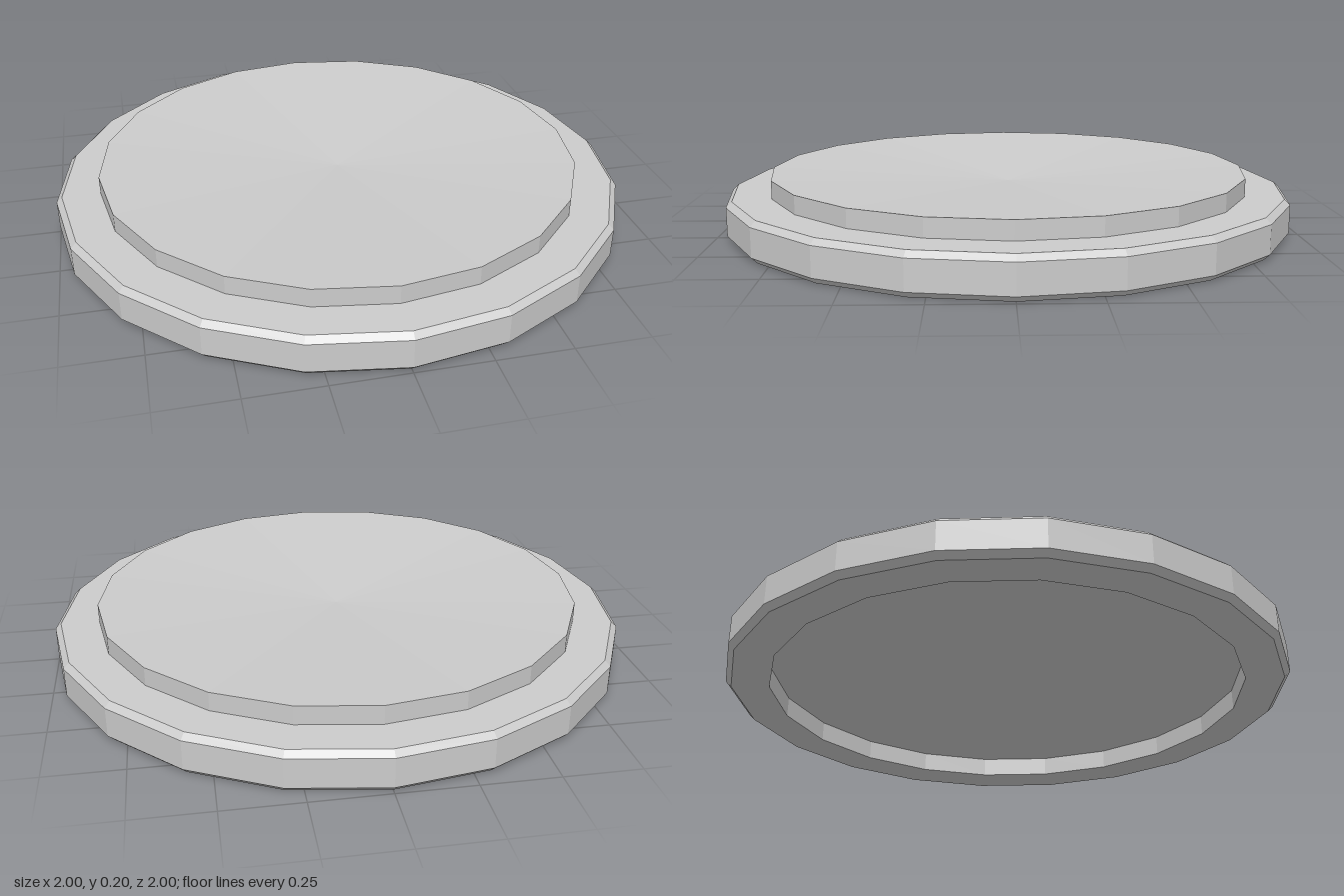
import * as THREE from 'three';

const SIDES = 20;

// Faceted ring or disc turned from [radius, height] points
function turned(name, profile, material) {
  const points = profile.map(([r, y]) => new THREE.Vector2(r, y));
  const mesh = new THREE.Mesh(new THREE.LatheGeometry(points, SIDES), material);
  mesh.name = name;
  return mesh;
}

export function createModel() {
  const group = new THREE.Group();
  group.name = 'disc';
  const material = new THREE.MeshStandardMaterial({ color: 0xcccccc, flatShading: true });

  // Outer rim with chamfered edges, from the recess wall round to the step
  group.add(turned('rim', [
    [0.848, 0.078], [0.848, 0.006], [0.98, 0], [1, 0.02],
    [1, 0.118], [0.98, 0.137], [0.848, 0.137],
  ], material));

  // Raised plate with a shallow dish on top
  group.add(turned('raisedPlate', [
    [0.848, 0.13], [0.848, 0.2], [0, 0.148],
  ], material));

  // Floor of the recess underneath, hollowed towards the centre
  group.add(turned('recessFloor', [[0, 0.128], [0.848, 0.078]], material));

  return group;
}
